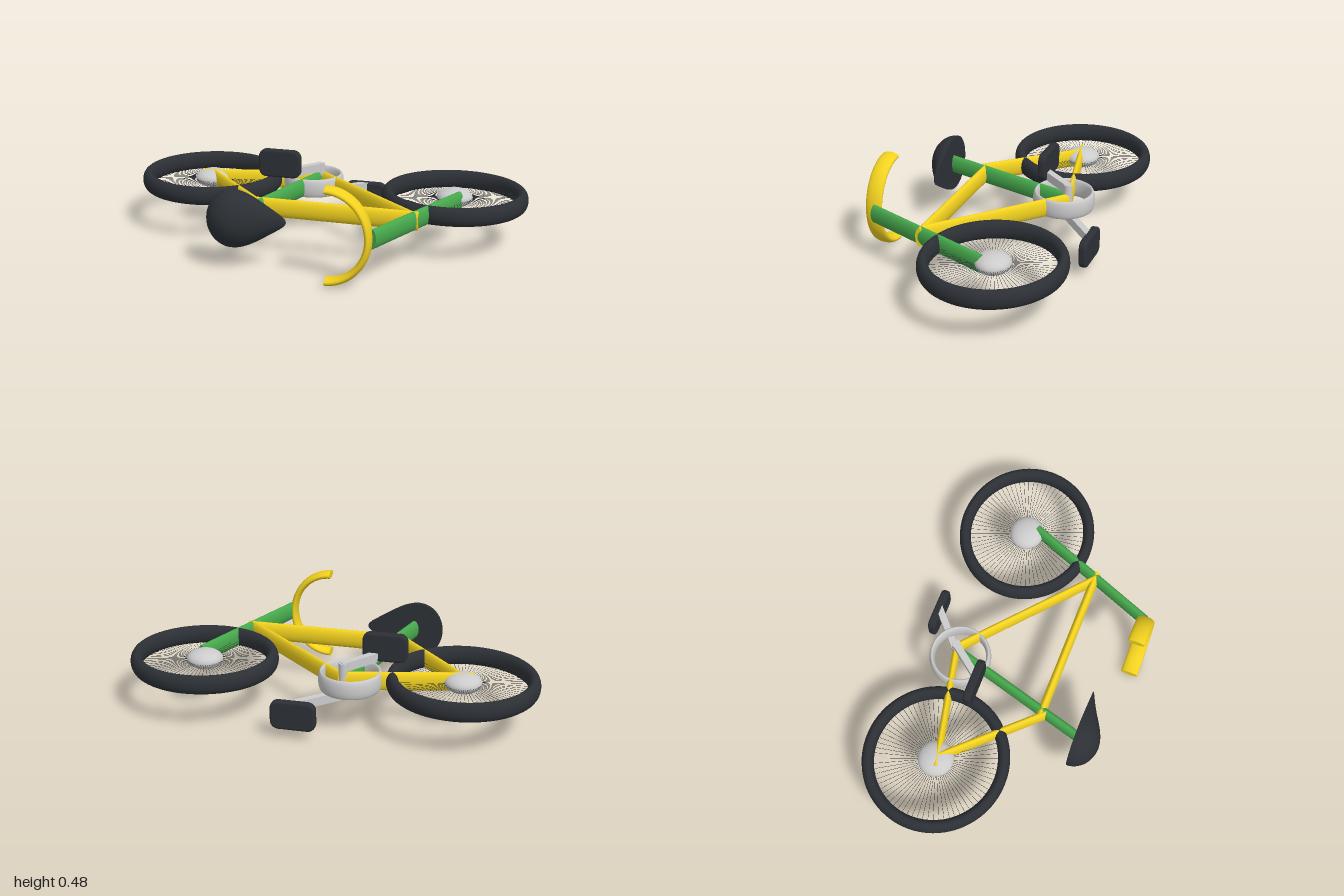
import * as THREE from 'three';
import { mergeGeometries } from 'three/addons/utils/BufferGeometryUtils.js';

const Y = 0.2425; // height of the bicycle's middle plane as it lies on its side
const HALF = 0.047; // half height shared by tubes, tyres and hubs
const mat = (color) => new THREE.MeshStandardMaterial({ color });

export function createModel() {
  const model = new THREE.Group();
  const grey = mat(0xcccccc), yellow = mat(0xf2d21f), green = mat(0x46a84c), black = mat(0x2c3035);

  const add = (name, geometry, material, x = 0, y = Y, z = 0, parent = model) => {
    const mesh = new THREE.Mesh(geometry, material);
    mesh.name = name;
    mesh.position.set(x, y, z);
    parent.add(mesh);
    return mesh;
  };

  // Oval tube between two points [x, z] of the middle plane
  const tube = (name, a, b, r, material) => {
    const dx = b[0] - a[0], dz = b[1] - a[1];
    const g = new THREE.CylinderGeometry(1, 1, 1, 28);
    g.rotateX(Math.PI / 2).scale(r, HALF, Math.hypot(dx, dz));
    add(name, g, material, (a[0] + b[0]) / 2, Y, (a[1] + b[1]) / 2).rotation.y = Math.atan2(dx, dz);
  };

  // Flat ring lying in the middle plane
  const ring = (rOuter, r, sx = 1, sz = 1) =>
    new THREE.TorusGeometry(rOuter - r, r, 20, 72).rotateX(Math.PI / 2).scale(sx, HALF / r, sz);

  // Wheels: tyre, hub and fine wire spokes
  const wheel = (name, x, z, rz) => {
    const group = new THREE.Group();
    group.name = name;
    group.position.set(x, Y, z);
    const stretch = rz / 0.364;
    add('tyre', ring(0.364, 0.03, 1, stretch), black, 0, 0, 0, group);
    add('hub', new THREE.SphereGeometry(0.09, 32, 20).scale(1, HALF / 0.09, stretch), grey, 0, 0, 0, group);
    const spokes = [];
    for (let i = 0; i < 72; i++) {
      const s = new THREE.CylinderGeometry(0.0008, 0.0008, 0.25, 4, 1, true);
      s.rotateZ(Math.PI / 2).translate(0.195, 0, 0).rotateY((i / 72) * Math.PI * 2).scale(1, 1, stretch);
      spokes.push(s);
    }
    add('spokes', mergeGeometries(spokes), black, 0, 0, 0, group);
    model.add(group);
  };
  wheel('rearWheel', -0.637, -0.203, 0.356);
  wheel('frontWheel', 0.636, -0.217, 0.342);

  // Frame
  const axle = [-0.68, -0.185], crankNode = [-0.075, -0.32];
  tube('chainStay', axle, crankNode, 0.018, yellow);
  tube('seatStay', [-0.635, -0.205], [-0.24, 0.218], 0.019, yellow);
  tube('downTube', crankNode, [0.52, 0.205], 0.019, yellow);
  tube('topTube', [-0.265, 0.19], [0.54, 0.195], 0.021, yellow);
  tube('seatTube', [-0.09, -0.31], [-0.295, 0.4], 0.023, green);
  tube('fork', [0.668, -0.17], [0.393, 0.505], 0.023, green);

  // Drop handlebar: half ring opening towards the rear
  const bar = new THREE.TorusGeometry(0.219, 0.019, 20, 40, Math.PI);
  bar.rotateZ(-Math.PI / 2).scale(0.91, 1, 0.043 / 0.019);
  add('handlebar', bar, yellow, 0.18, Y, 0.513);
  for (const s of [1, -1]) {
    const cap = new THREE.CircleGeometry(1, 20).rotateY(-Math.PI / 2).scale(1, 0.019, 0.043);
    add('handlebarEnd', cap, yellow, 0.18, Y + s * 0.219, 0.513);
  }

  // Saddle: teardrop dome, rounded at the back and drawn out to a nose
  const dome = new THREE.SphereGeometry(1, 40, 32, 0, Math.PI).rotateZ(-Math.PI / 2);
  const under = new THREE.PlaneGeometry(2, 2, 40, 2).rotateY(Math.PI);
  const shapeSaddle = (g, flat) => {
    const p = g.attributes.position;
    for (let i = 0; i < p.count; i++) {
      const u = THREE.MathUtils.clamp(p.getX(i), -1, 1);
      const round = Math.sqrt(Math.max(0, 1 - u * u));
      const nose = u < 0 ? round : 0.5 * round + 0.25 * (1 + Math.cos(Math.PI * u));
      const k = flat ? 1 : Math.max(round, 1e-6);
      const y = (p.getY(i) / k) * nose * 0.143;
      const z = (Math.abs(p.getZ(i)) / k) * (u < 0 ? round : nose ** 1.4) * 0.12;
      p.setXYZ(i, u * (u < 0 ? 0.13 : 0.26), y, flat ? 0 : z);
    }
    g.computeVertexNormals();
    return g;
  };
  const saddleMat = mat(0x2c3035);
  saddleMat.side = THREE.DoubleSide;
  add('saddle', shapeSaddle(dome, false), saddleMat, -0.31, Y, 0.39);
  add('saddleBase', shapeSaddle(under, true), saddleMat, -0.31, Y, 0.39);

  // Chainring and spindle
  add('chainring', ring(0.153, 0.013), grey, -0.112, Y, -0.286);
  add('spindle', new THREE.CylinderGeometry(0.022, 0.022, 0.18, 24), grey, -0.085, Y, -0.315);

  // Cranks and pedals, one on each side of the frame
  const crank = (name, end, y) => {
    const dx = end[0] + 0.085, dz = end[1] + 0.315;
    const g = new THREE.BoxGeometry(0.034, 0.044, Math.hypot(dx, dz) + 0.02);
    add(name, g, grey, -0.085 + dx / 2, y, -0.315 + dz / 2).rotation.y = Math.atan2(dx, dz);
  };
  const pedal = (name, x, y, z) => {
    const w = 0.098, h = 0.06, c = 0.028;
    const s = new THREE.Shape();
    s.absarc(w - c, h - c, c, 0, Math.PI / 2);
    s.absarc(c - w, h - c, c, Math.PI / 2, Math.PI);
    s.absarc(c - w, c - h, c, Math.PI, Math.PI * 1.5);
    s.absarc(w - c, c - h, c, Math.PI * 1.5, Math.PI * 2);
    const g = new THREE.ExtrudeGeometry(s, {
      depth: 0.016, bevelThickness: 0.012, bevelSize: 0.012, bevelSegments: 4, curveSegments: 8,
    });
    add(name, g.translate(0, 0, -0.008), black, x, y, z);
  };
  crank('upperCrank', [-0.2, -0.17], 0.313);
  crank('lowerCrank', [0.11, -0.49], 0.172);
  pedal('upperPedal', -0.252, 0.363, -0.152);
  pedal('lowerPedal', 0.113, 0.123, -0.497);

  return model;
}
